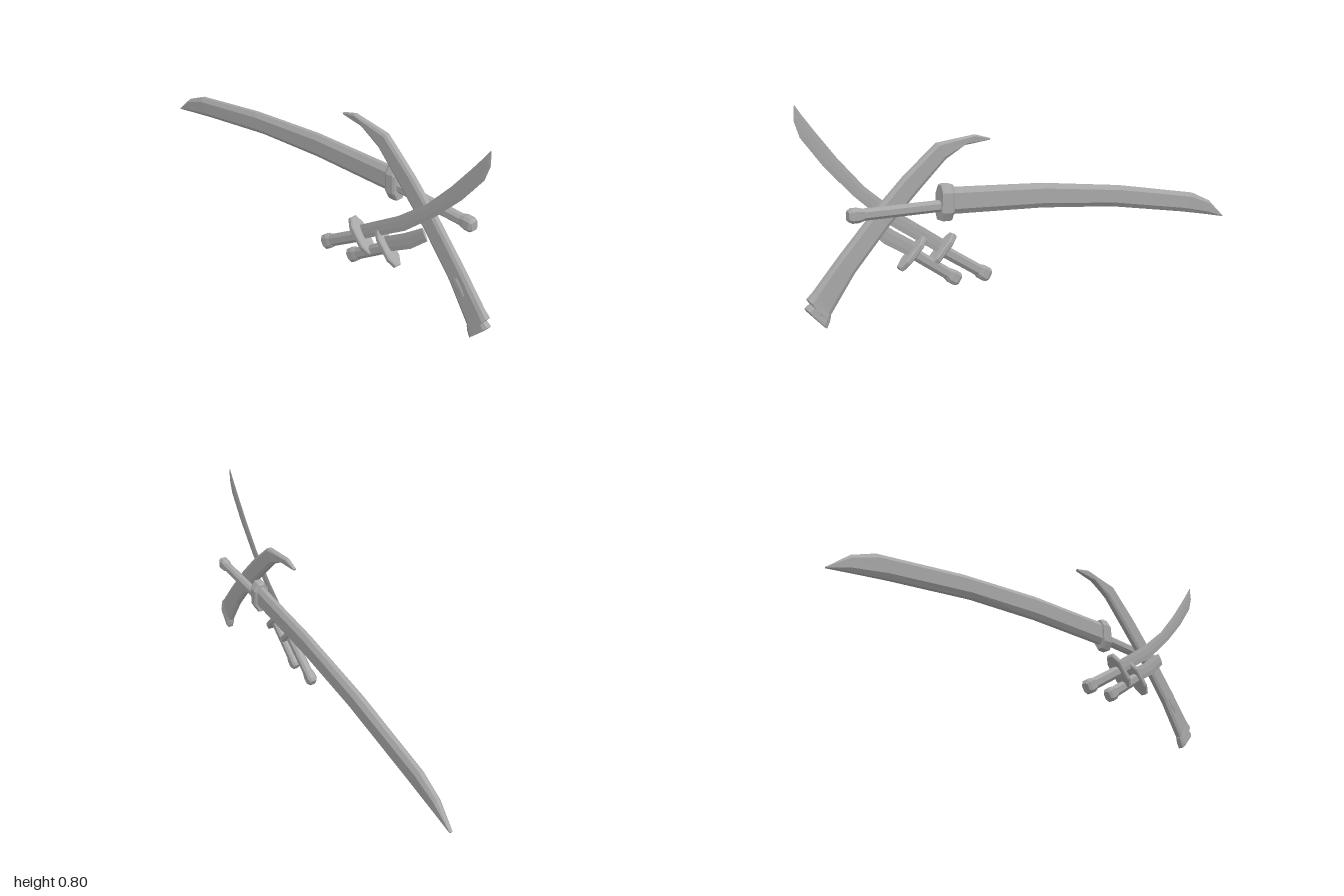
import * as THREE from 'three';

const steel = new THREE.MeshStandardMaterial({ color: 0xa8a8a8, flatShading: true });
steel.name = 'grey steel';

// Eight-sided cross-section: edge chamfer c (share of width), edge flat f (share of thickness)
const section = (c, f) => [[0, f], [c, 1], [1 - c, 1], [1, f], [1, -f], [1 - c, -1], [c, -1], [0, -f]];

// Solid through stations [upperX, upperY, lowerX, lowerY, halfThickness]
function loft(name, z, stations, c = 0.2, f = 0.5) {
  const prof = section(c, f), n = prof.length, tris = [];
  const rings = stations.map(([ux, uy, lx, ly, h]) => prof.map(([t, s]) =>
    new THREE.Vector3(ux + (lx - ux) * t, uy + (ly - uy) * t, z + s * h)));
  for (let i = 0; i < rings.length - 1; i++) {
    for (let j = 0; j < n; j++) {
      const k = (j + 1) % n, a = rings[i], b = rings[i + 1];
      tris.push([a[j], b[j], b[k]], [a[j], b[k], a[k]]);
    }
  }
  const first = rings[0], last = rings[rings.length - 1];
  for (let j = 1; j < n - 1; j++) {
    tris.push([first[0], first[j], first[j + 1]], [last[0], last[j + 1], last[j]]);
  }
  // Turn the faces outward when the signed volume is negative
  const volume = tris.reduce((v, [a, b, d]) => v + a.clone().sub(first[0])
    .dot(b.clone().sub(first[0]).cross(d.clone().sub(first[0]))), 0);
  const points = tris.flatMap(([a, b, d]) => (volume < 0 ? [a, d, b] : [a, b, d]));
  const geo = new THREE.BufferGeometry().setFromPoints(points);
  geo.computeVertexNormals();
  const mesh = new THREE.Mesh(geo, steel);
  mesh.name = name;
  return mesh;
}

// Straight solid along an angle, stations [distance, halfWidth, halfThickness]
function bar(name, x, y, z, degrees, stations, c, f) {
  const a = degrees * Math.PI / 180, cos = Math.cos(a), sin = Math.sin(a);
  return loft(name, z, stations.map(([d, w, h]) => [
    x + cos * d - sin * w, y + sin * d + cos * w,
    x + cos * d + sin * w, y + sin * d - cos * w, h]), c, f);
}

function group(name, ...parts) {
  const g = new THREE.Group();
  g.name = name;
  g.add(...parts);
  return g;
}

// Grip with a faceted pommel at its outer end
function handle(x, y, z, degrees, length, w, h) {
  return [
    bar('grip', x, y, z, degrees, [[0, w, h], [length, w, h]], 0.25, 0.5),
    bar('pommel', x, y, z, degrees, [[-0.035, w * 0.85, h * 0.8], [-0.022, w * 1.25, h * 1.15],
      [0.005, w * 1.25, h * 1.15], [0.024, w, h]], 0.2, 0.6),
  ];
}

const guard = (x, y, z, degrees, w, h, t) => bar('guard', x, y, z, degrees,
  [[-t, w * 0.94, h * 0.85], [-t * 0.6, w, h], [t * 0.6, w, h], [t, w * 0.94, h * 0.85]], 0.23, 0.45);

export function createModel() {
  const model = group('swordSet',
    // Great sabre lying across the back
    group('greatSabre',
      loft('sheathedBlade', -0.06, [
        [-1, 0.217, -0.998, 0.212, 0.006],
        [-0.91, 0.295, -0.9, 0.232, 0.015],
        [-0.805, 0.34, -0.74, 0.262, 0.02],
        [-0.39, 0.41, -0.34, 0.326, 0.022],
        [0.01, 0.455, 0.02, 0.358, 0.022],
        [0.46, 0.478, 0.465, 0.377, 0.022]], 0.2, 0.4),
      guard(0.458, 0.422, -0.059, 3, 0.07, 0.033, 0.026),
      ...handle(0.818, 0.41, -0.059, 180, 0.34, 0.021, 0.018)),

    // Empty curved scabbard in the middle
    group('scabbard',
      loft('scabbardBody', -0.004, [
        [0.225, 0.645, 0.227, 0.638, 0.006],
        [0.29, 0.662, 0.34, 0.625, 0.012],
        [0.46, 0.64, 0.425, 0.578, 0.015],
        [0.6, 0.51, 0.54, 0.48, 0.015],
        [0.715, 0.395, 0.675, 0.36, 0.015],
        [0.865, 0.255, 0.81, 0.19, 0.016],
        [0.975, 0.13, 0.915, 0.04, 0.016]].map((s, i) =>
        // Keep the width even through the straight middle
        (i === 3 ? [0.6, 0.525, 0.532, 0.478, s[4]] : i === 4 ? [0.725, 0.405, 0.67, 0.345, s[4]] : s)), 0.15, 0.6),
      loft('scabbardCollar', -0.004, [
        [0.968, 0.138, 0.908, 0.045, 0.016],
        [0.992, 0.115, 0.914, 0.026, 0.019],
        [0.98, 0.098, 0.917, 0.018, 0.019]], 0.15, 0.6),
      loft('scabbardMouth', -0.004, [
        [0.978, 0.1, 0.915, 0.022, 0.016],
        [1, 0.083, 0.92, 0.012, 0.018],
        [0.995, 0.074, 0.926, 0.001, 0.018]], 0.15, 0.6),
      bar('beltLug', 0.86, 0.185, 0.011, -53, [[-0.035, 0.012, 0.004], [0, 0.016, 0.005], [0.035, 0.012, 0.004]])),

    // Long bare sabre in front
    group('longSabre',
      loft('blade', 0.062, [
        [0.4, 0.252, 0.43, 0.205, 0.003],
        [0.595, 0.38, 0.635, 0.337, 0.003],
        [0.73, 0.49, 0.775, 0.46, 0.003],
        [0.835, 0.605, 0.885, 0.575, 0.003],
        [0.915, 0.705, 0.97, 0.685, 0.003],
        [0.963, 0.768, 0.99, 0.745, 0.0025],
        [0.985, 0.8, 0.988, 0.797, 0.001]], 0.3, 0.3),
      guard(0.41, 0.209, 0.062, 44, 0.08, 0.031, 0.013),
      ...handle(0.224, 0.095, 0.06, 32, 0.22, 0.023, 0.018)),

    // Broken short sabre beside it
    group('brokenSabre',
      loft('blade', 0.053, [
        [0.51, 0.247, 0.555, 0.205, 0.004],
        [0.62, 0.315, 0.66, 0.268, 0.004],
        [0.71, 0.38, 0.737, 0.337, 0.004]], 0.3, 0.3),
      guard(0.543, 0.215, 0.053, 44, 0.078, 0.028, 0.012),
      ...handle(0.367, 0.1, 0.054, 34, 0.21, 0.022, 0.017)));
  return model;
}
